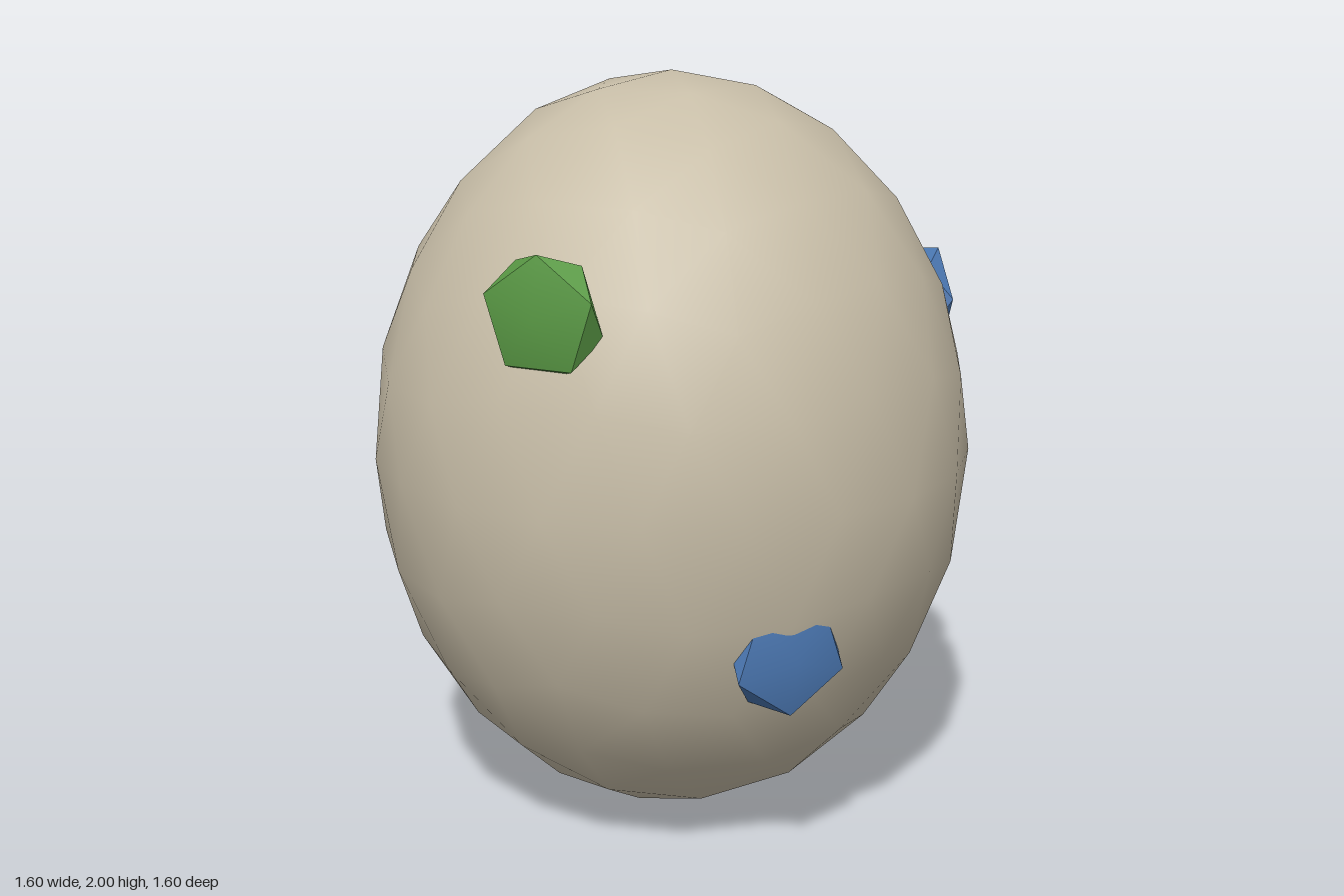
import * as THREE from 'three';
import { mergeVertices, toCreasedNormals } from 'three/addons/utils/BufferGeometryUtils.js';

// Icosahedron with one corner on the +z axis
function poleIcosahedron() {
  return new THREE.IcosahedronGeometry(1, 0).rotateX(Math.atan(2 / (1 + Math.sqrt(5))));
}

// Split every triangle in four and push the new corners onto the unit sphere
function subdivide(geometry) {
  const corners = Array.from(geometry.attributes.position.array);
  const order = Array.from({ length: corners.length / 3 }, (_, i) => i);
  return new THREE.PolyhedronGeometry(corners, order, 1, 1);
}

function makeShell() {
  let geometry = poleIcosahedron().rotateX(-Math.PI / 2).rotateY(Math.PI / 2);
  for (let i = 0; i < 2; i++) geometry = subdivide(geometry);
  geometry.deleteAttribute('normal');
  geometry.deleteAttribute('uv');
  geometry = mergeVertices(geometry, 1e-3);
  geometry.scale(0.8, 1, 0.8);
  geometry.computeVertexNormals();
  const shell = new THREE.Mesh(geometry, new THREE.MeshStandardMaterial({ color: 0xc8bea8 }));
  shell.name = 'eggShell';
  shell.position.y = 1;
  return shell;
}

// Flattened faceted spot, half sunk in the shell and turned outward
function makeSpot({ name, color, radius, azimuth, y, distance, roll }) {
  const rad = THREE.MathUtils.degToRad;
  const geometry = poleIcosahedron()
    .scale(radius, radius, 0.067)
    .rotateZ(rad(roll))
    .translate(0, 0, distance)
    .rotateY(rad(azimuth));
  const spot = new THREE.Mesh(
    toCreasedNormals(geometry, 0.6),
    new THREE.MeshStandardMaterial({ color })
  );
  spot.name = name;
  spot.position.y = y;
  return spot;
}

export function createModel() {
  const model = new THREE.Group();
  model.name = 'spottedEgg';
  model.add(makeShell());

  const green = 0x5a9a45, blue = 0x4a76b0, red = 0xa0523d;
  const spots = [
    { name: 'greenSpot', color: green, radius: 0.17, azimuth: -20, y: 1.487, distance: 0.714, roll: 36 },
    { name: 'lowerBlueSpot', color: blue, radius: 0.168, azimuth: 28.5, y: 0.635, distance: 0.715, roll: 0 },
    { name: 'upperBlueSpot', color: blue, radius: 0.162, azimuth: 109.5, y: 1.36, distance: 0.715, roll: 45 },
    { name: 'redSpot', color: red, radius: 0.165, azimuth: 172.5, y: 0.57, distance: 0.714, roll: 63 },
  ];
  for (const spot of spots) model.add(makeSpot(spot));
  return model;
}
